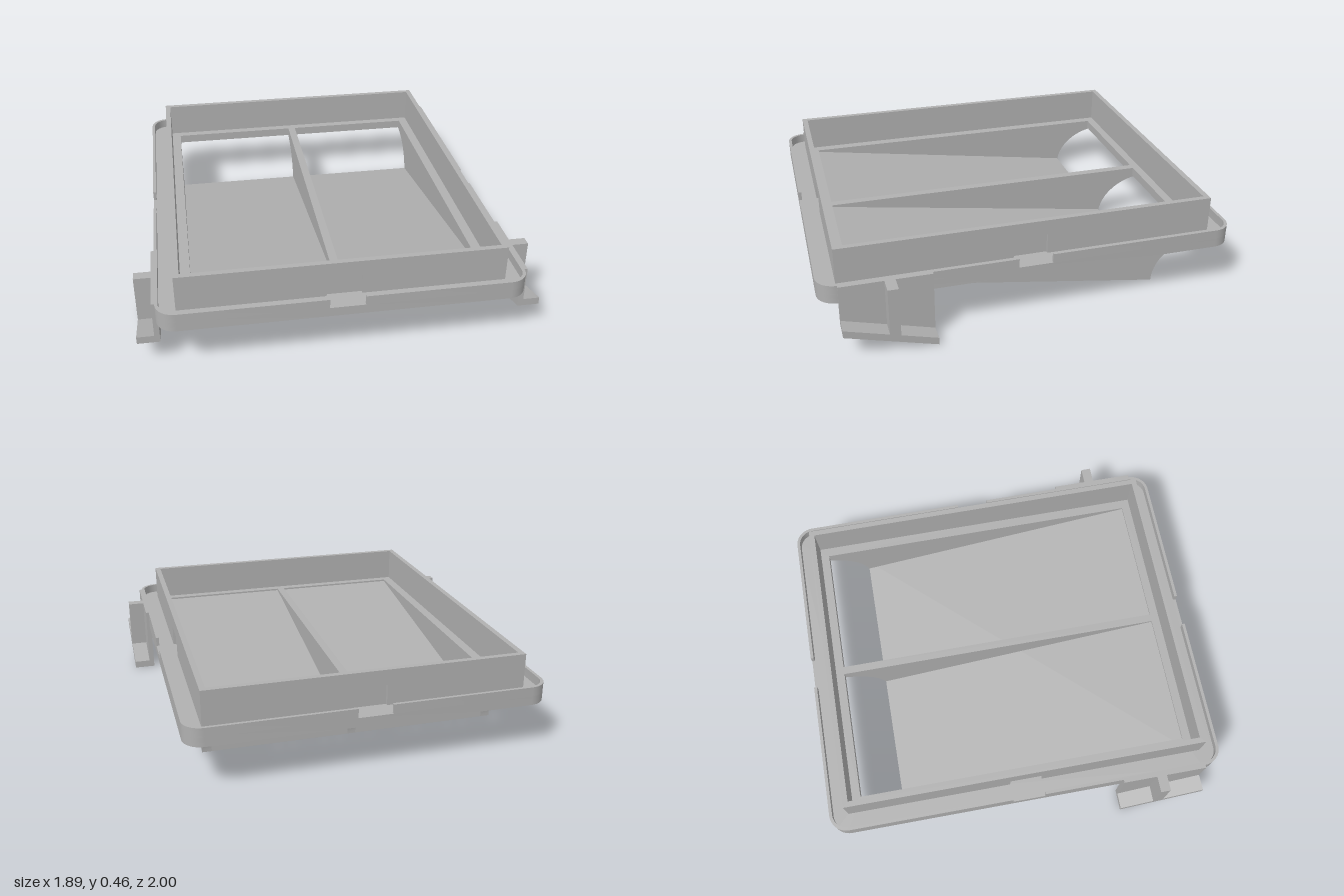
import * as THREE from 'three';
import { toCreasedNormals } from 'three/addons/utils/BufferGeometryUtils.js';

const grey = new THREE.MeshStandardMaterial({ color: 0xb0b0b0 });
grey.name = 'plain grey';

const V = (x, y) => new THREE.Vector2(x, y);

// points of an elliptical arc
function arc(cx, cy, rx, ry, a0, a1, n) {
  const pts = [];
  for (let i = 0; i <= n; i++) {
    const a = a0 + (a1 - a0) * i / n;
    pts.push(V(cx + rx * Math.cos(a), cy + ry * Math.sin(a)));
  }
  return pts;
}

const rect = (hx, hz) => [V(-hx, -hz), V(hx, -hz), V(hx, hz), V(-hx, hz)];

function roundedRect(hx, hz, r) {
  const q = Math.PI / 2;
  return [[1, 1, 0], [-1, 1, 1], [-1, -1, 2], [1, -1, 3]].flatMap(([sx, sz, k]) =>
    arc(sx * (hx - r), sz * (hz - r), r, r, k * q, (k + 1) * q, 10));
}

function extrude(points, depth, hole) {
  const shape = new THREE.Shape(points);
  if (hole) shape.holes.push(new THREE.Path(hole));
  return new THREE.ExtrudeGeometry(shape, { depth, bevelEnabled: false });
}

export function createModel() {
  const model = new THREE.Group();
  const add = (name, geometry, parent = model) => {
    const mesh = new THREE.Mesh(toCreasedNormals(geometry, 0.5), grey);
    mesh.name = name;
    parent.add(mesh);
    return mesh;
  };
  // plan outline raised from y0 to y1
  const slab = (name, pts, y0, y1, hole) =>
    add(name, extrude(pts, y1 - y0, hole).rotateX(-Math.PI / 2).translate(0, y0, 0));
  // side profile, drawn as (-z, y), running from x0 to x1
  const profile = (name, pts, x0, x1, parent) =>
    add(name, extrude(pts, x1 - x0).rotateY(Math.PI / 2).translate(x0, 0, 0), parent);

  // flange with the central opening
  slab('flange', roundedRect(0.85, 1, 0.09), 0.24, 0.285, rect(0.685, 0.84));

  // thin outer lip in four corner pieces, leaving a gap mid-side
  const gap = 0.082;
  for (const sx of [-1, 1]) for (const sz of [-1, 1]) {
    const outer = [V(0.85, gap), ...arc(0.76, 0.91, 0.09, 0.09, 0, Math.PI / 2, 10), V(gap, 1)];
    const inner = [V(gap, 0.985), ...arc(0.76, 0.91, 0.075, 0.075, Math.PI / 2, 0, 10), V(0.835, gap)];
    slab('lip', [...outer, ...inner].map(p => V(p.x * sx, p.y * sz)), 0.285, 0.33);
  }

  // upright wall: lower band has a shallow pocket on each side
  const X = 0.76, Z = 0.91, d = 0.014;
  const pocketed = [
    V(X, -Z), V(X, -gap), V(X - d, -gap), V(X - d, gap), V(X, gap),
    V(X, Z), V(gap, Z), V(gap, Z - d), V(-gap, Z - d), V(-gap, Z),
    V(-X, Z), V(-X, gap), V(-X + d, gap), V(-X + d, -gap), V(-X, -gap),
    V(-X, -Z), V(-gap, -Z), V(-gap, -Z + d), V(gap, -Z + d), V(gap, -Z),
  ];
  slab('wallLower', pocketed, 0.285, 0.385, rect(0.733, 0.883));
  slab('wallUpper', rect(X, Z), 0.385, 0.46, rect(0.733, 0.883));

  // chute sides and divider, with the curved cut-out at the back
  const tipZ = 0.645, slope = 0.152;
  const bottom = z => 0.02 + slope * (z + tipZ);
  const side = top => [
    V(-0.8, 0.24), V(-0.84, 0.246), V(-0.84, top), V(0.84, top), V(0.84, 0.242), V(0.91, 0.242),
    ...arc(0.915, 0.02, 0.915 - tipZ, 0.22, Math.PI / 2, Math.PI, 20),
  ].reverse();
  profile('chuteSide', side(0.26), 0.685, 0.73);
  profile('chuteSide', side(0.26), -0.73, -0.685);
  profile('divider', side(0.285), -0.02, 0.02);

  // sloping chute floor
  const t = 0.03;
  profile('chuteFloor', [
    V(-0.84, bottom(0.84)), V(tipZ, 0.02), V(tipZ, 0.02 + t), V(-0.84, bottom(0.84) + t),
  ], -0.73, 0.73);

  // side brackets: plate, sloping foot and stiffening rib
  const z0 = 0.485, z1 = 0.91;
  const foot = z => 0.002 + (z - z0) * 0.278;
  const panel = (za, zb, top) => [V(-zb, foot(zb)), V(-za, foot(za)), V(-za, top), V(-zb, top)];
  for (const s of [-1, 1]) {
    const bracket = new THREE.Group();
    bracket.name = s > 0 ? 'leftBracket' : 'rightBracket';
    model.add(bracket);
    const span = (a, b) => (s > 0 ? [a, b] : [-b, -a]);
    profile('bracketPlate', panel(z0, z1, 0.33), ...span(0.84, 0.865), bracket);
    profile('bracketRib', panel(0.655, 0.705, 0.33), ...span(0.865, 0.945), bracket);
    profile('bracketFoot', [
      V(-z1, foot(z1)), V(-z0, foot(z0)), V(-z0, foot(z0) + 0.036), V(-z1, foot(z1) + 0.036),
    ], ...span(0.865, 0.945), bracket);
  }
  return model;
}
